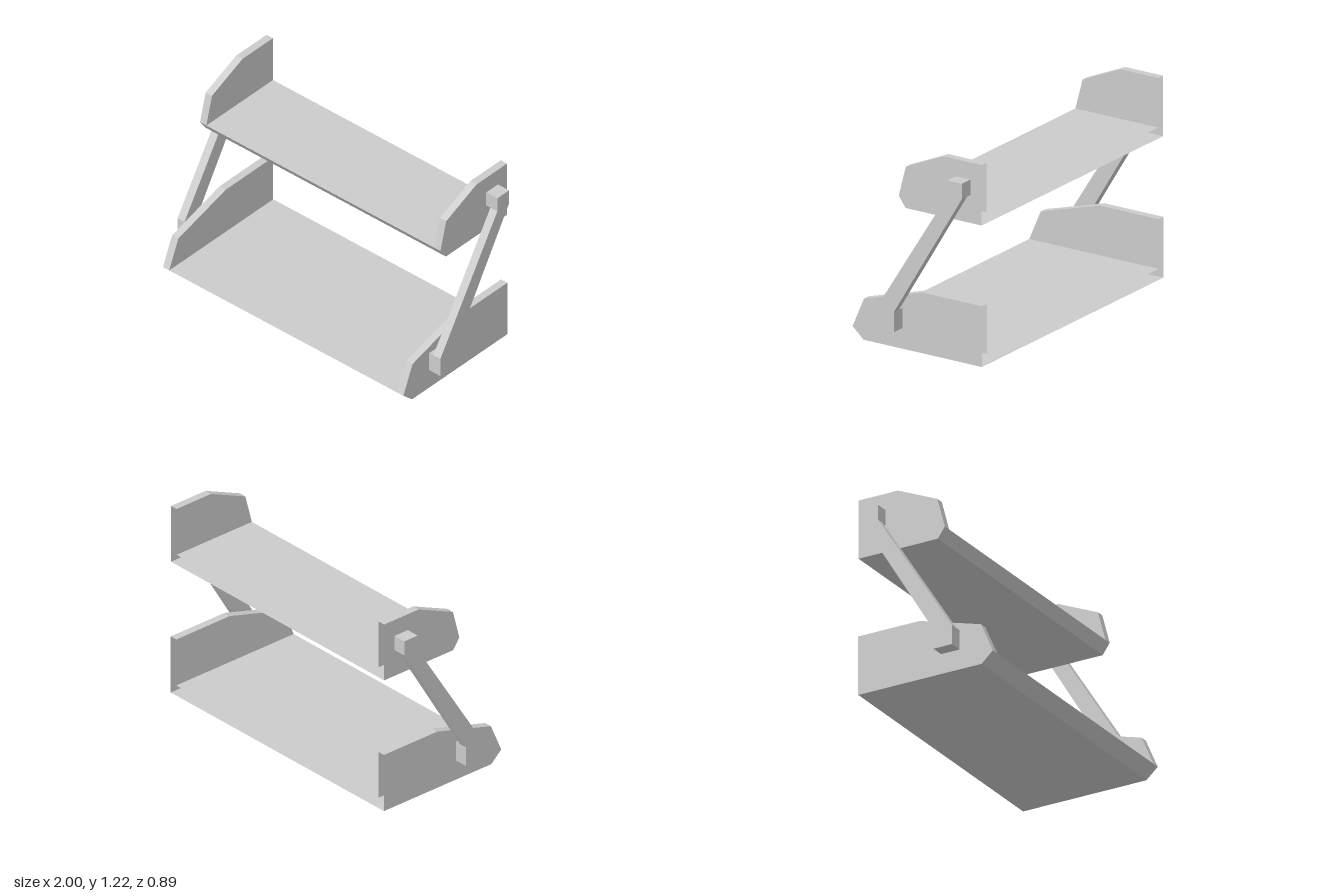
import * as THREE from 'three';

const grey = new THREE.MeshStandardMaterial({ color: 0xcccccc, flatShading: true });
const greyThin = new THREE.MeshStandardMaterial({ color: 0xcccccc, flatShading: true, side: THREE.DoubleSide });

const OUTER = 0.915; // outside of the side panels
const INNER = 0.867; // inside of the side panels
const ARM_IN = 0.947; // inside of the slanted arms

// Geometry from flat convex polygons, each a list of [x, y, z] corners
function fromPolygons(polygons) {
  const pos = [];
  for (const p of polygons)
    for (let i = 1; i < p.length - 1; i++) pos.push(...p[0], ...p[i], ...p[i + 1]);
  const geo = new THREE.BufferGeometry();
  geo.setAttribute('position', new THREE.Float32BufferAttribute(pos, 3));
  geo.computeVertexNormals();
  return geo;
}

// Hollow tray, open at the back. Profile of [z, y] points:
// back bottom, front bottom, nose, front shoulder, top front, top back
function tray(name, profile) {
  const [a, b, c, d, e, f] = profile;
  const g = [a[0], c[1]]; // back edge of the floor
  const at = (x, p) => [x, p[1], p[0]];
  const strip = (x0, x1, p, q) => [at(x0, p), at(x1, p), at(x1, q), at(x0, q)];

  const polygons = [
    strip(-OUTER, OUTER, a, b), // underside
    strip(-OUTER, OUTER, b, c), // front bevel
    strip(-INNER, INNER, c, g), // floor
  ];
  for (const s of [1, -1]) {
    const panel = [
      [a, f, e, d, c, b].map((p) => at(s * OUTER, p)),
      [g, c, d, e, f].map((p) => at(s * INNER, p)),
    ];
    for (const [p, q] of [[c, d], [d, e], [e, f]])
      polygons.push(s > 0 ? strip(INNER, OUTER, p, q) : strip(-OUTER, -INNER, p, q));
    for (const p of panel) polygons.push(s > 0 ? p : p.reverse());
  }
  const mesh = new THREE.Mesh(fromPolygons(polygons), greyThin);
  mesh.name = name;
  return mesh;
}

// Prism with a [z, y] outline between x0 and x1
function prism(name, outline, x0, x1) {
  const shape = new THREE.Shape(outline.map((p) => new THREE.Vector2(...p)));
  const geo = new THREE.ExtrudeGeometry(shape, { depth: x1 - x0, bevelEnabled: false });
  geo.rotateY(-Math.PI / 2).translate(x1, 0, 0);
  const mesh = new THREE.Mesh(geo, grey);
  mesh.name = name;
  return mesh;
}

// Slanted arm with a mounting block at each end
function arm(name, side) {
  const lower = { z0: 0.103, z1: 0.225, y0: 0.125, y1: 0.247 };
  const upper = { z0: -0.366, z1: -0.265, y0: 1.025, y1: 1.118 };
  const rect = (r) => [[r.z0, r.y0], [r.z1, r.y0], [r.z1, r.y1], [r.z0, r.y1]];
  const strut = [
    [lower.z0, lower.y1], [lower.z1, lower.y1],
    [upper.z1, upper.y0], [upper.z0, upper.y0],
  ];
  const x0 = (inner) => (side > 0 ? inner : -1);
  const x1 = (inner) => (side > 0 ? 1 : -inner);
  const group = new THREE.Group();
  group.name = name;
  group.add(
    prism('lowerBlock', rect(lower), x0(OUTER), x1(OUTER)),
    prism('strut', strut, x0(ARM_IN), x1(ARM_IN)),
    prism('upperBlock', rect(upper), x0(OUTER), x1(OUTER)),
  );
  return group;
}

export function createModel() {
  const model = new THREE.Group();
  model.name = 'twoTierShelf';
  model.add(
    tray('lowerTray', [
      [-0.447, 0], [0.372, 0], [0.447, 0.067], [0.368, 0.25], [-0.04, 0.368], [-0.447, 0.368],
    ]),
    tray('upperTray', [
      [-0.445, 0.856], [0.081, 0.856], [0.128, 0.922], [0.079, 1.107], [-0.183, 1.222], [-0.445, 1.222],
    ]),
    arm('leftArm', 1),
    arm('rightArm', -1),
  );
  return model;
}
